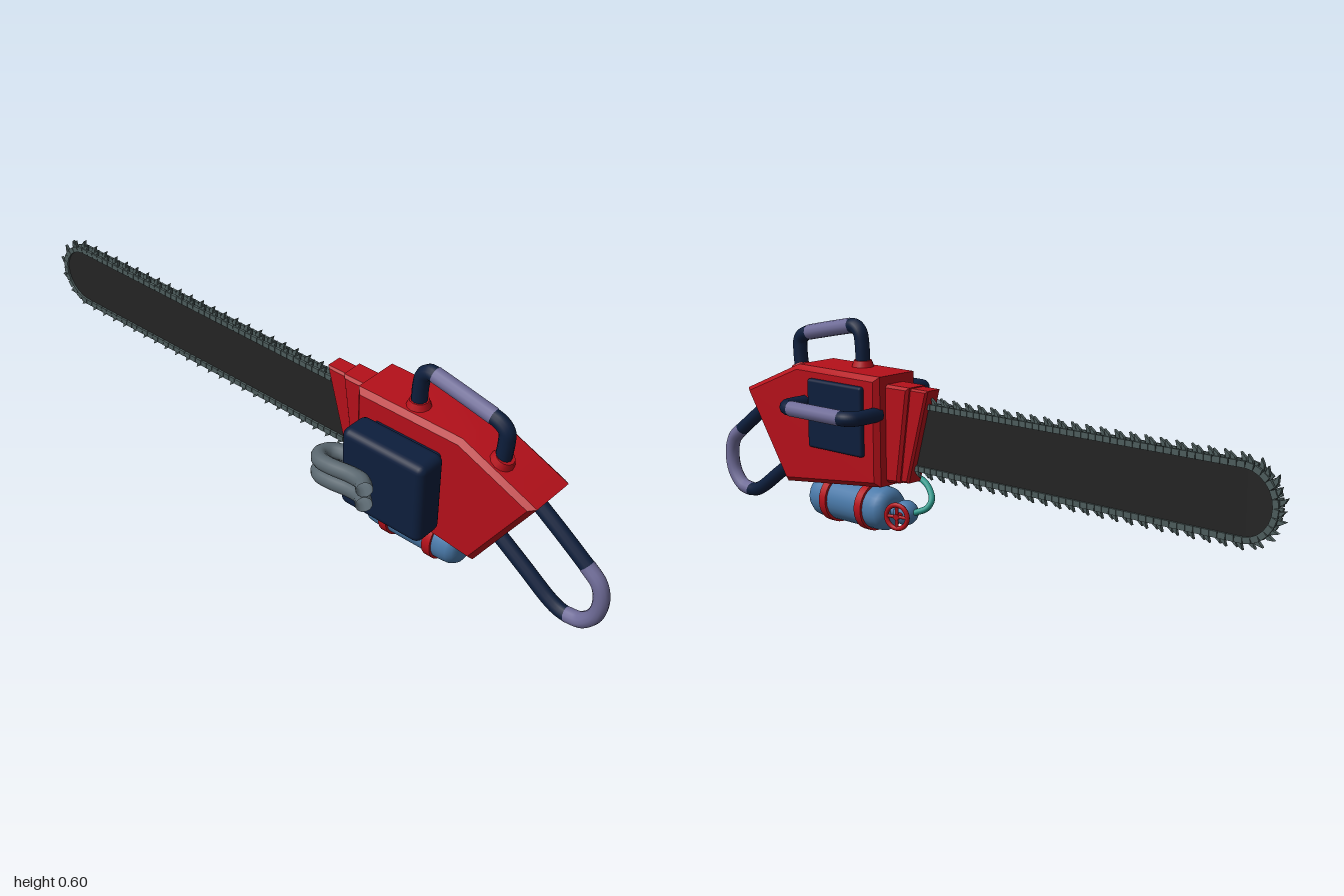
import * as THREE from 'three';
import { mergeGeometries, toCreasedNormals } from 'three/addons/utils/BufferGeometryUtils.js';
import { RoundedBoxGeometry } from 'three/addons/geometries/RoundedBoxGeometry.js';

const mat = (color, extra = {}) => {
  const m = new THREE.MeshStandardMaterial(extra);
  m.color.set(color);
  return m;
};
const red = mat(0xb5101a), navy = mat(0x0d1e3c), lavender = mat(0x6f6c98), blue = mat(0x4a7aaa);
const steel = mat(0x59666e, { side: THREE.DoubleSide }), chainGrey = mat(0x4d5c5c);
const dark = mat(0x242424), teal = mat(0x2a9a8c);

const vec = (p) => new THREE.Vector3(...p);

export function createModel() {
  const model = new THREE.Group();
  const add = (name, geometry, material, pos = [0, 0, 0], parent = model) => {
    const mesh = new THREE.Mesh(geometry, material);
    mesh.name = name;
    mesh.position.set(...pos);
    parent.add(mesh);
    return mesh;
  };

  // Side outline extruded from z0 to z1 with a chamfer that stays inside the outline
  const slab = (points, z0, z1, bevel) => {
    const shape = new THREE.Shape(points.map((p) => new THREE.Vector2(...p)));
    const g = new THREE.ExtrudeGeometry(shape, {
      depth: z1 - z0 - 2 * bevel, bevelEnabled: bevel > 0, bevelThickness: bevel,
      bevelSize: bevel, bevelOffset: -bevel, bevelSegments: 1, curveSegments: 20,
    });
    return toCreasedNormals(g.translate(0, 0, z0 + bevel), 0.5);
  };

  const tube = (name, points, radius, material, parent = model) => {
    const curve = new THREE.CatmullRomCurve3(points.map(vec), false, 'centripetal');
    return add(name, new THREE.TubeGeometry(curve, points.length * 6, radius, 12), material, [0, 0, 0], parent);
  };

  // Handle: two dark arms with a slightly thicker grip between them
  const handle = (name, first, grip, last, radius) => {
    const group = new THREE.Group();
    group.name = name;
    model.add(group);
    tube(name + 'FirstArm', first, radius, navy, group);
    tube(name + 'Grip', grip, radius * 1.05, lavender, group);
    tube(name + 'SecondArm', last, radius, navy, group);
  };

  // Housing and the stepped guard where the bar enters
  add('body', slab([[0.25, 0.155], [0.64, 0.11], [0.81, 0.37], [0.58, 0.467], [0.25, 0.467]], -0.122, 0.04, 0.014), red);
  add('barGuard', slab([[0.18, 0.17], [0.27, 0.165], [0.27, 0.44], [0.105, 0.44]], -0.073, -0.016, 0.006), red);
  add('barGuardStep', slab([[0.205, 0.168], [0.27, 0.163], [0.27, 0.443], [0.165, 0.443]], -0.086, -0.008, 0.008), red);

  // Engine cover, its mounting plate and the rear panel
  add('engineCover', new RoundedBoxGeometry(0.262, 0.24, 0.094, 3, 0.022), navy, [0.424, 0.302, 0.102]);
  add('enginePlate', new RoundedBoxGeometry(0.21, 0.19, 0.04, 2, 0.008), navy, [0.424, 0.305, 0.045]);
  add('rearPanel', new RoundedBoxGeometry(0.22, 0.2, 0.034, 2, 0.008), navy, [0.41, 0.335, -0.119]);

  // Guide bar with a round nose
  const noseX = -0.88, rootX = 0.2, midY = 0.303, barZ = -0.042, barR = 0.084;
  const barShape = new THREE.Shape();
  barShape.moveTo(rootX, midY - barR);
  barShape.lineTo(rootX, midY + barR);
  barShape.lineTo(noseX, midY + barR);
  barShape.absarc(noseX, midY, barR, Math.PI / 2, Math.PI * 1.5, false);
  const bar = new THREE.ExtrudeGeometry(barShape, { depth: 0.016, bevelEnabled: false, curveSegments: 24 });
  add('guideBar', toCreasedNormals(bar, 0.5), dark, [0, 0, barZ - 0.008]);

  // Chain: links and hooked teeth following the edge of the bar
  const run = rootX - noseX, chainR = 0.09, arc = Math.PI * chainR, total = 2 * run + arc;
  const count = 108, pitch = total / count;
  const toothShape = new THREE.Shape([[-0.009, 0], [0.007, 0], [0.006, 0.008], [0.011, 0.025], [-0.003, 0.014]]
    .map((p) => new THREE.Vector2(...p)));
  const tooth = new THREE.ExtrudeGeometry(toothShape, { depth: 0.009, bevelEnabled: false });
  const link = new THREE.BoxGeometry(pitch * 0.92, 0.016, 0.007).toNonIndexed();
  const chain = [];
  for (let i = 0; i < count; i++) {
    const s = (i + 0.5) * pitch;
    let x, y, turn;
    if (s < run) [x, y, turn] = [rootX - s, midY + chainR, 0];
    else if (s < run + arc) {
      turn = (s - run) / chainR;
      [x, y] = [noseX - Math.sin(turn) * chainR, midY + Math.cos(turn) * chainR];
    } else [x, y, turn] = [noseX + s - run - arc, midY - chainR, Math.PI];
    const place = new THREE.Matrix4().makeRotationZ(turn).setPosition(x, y, barZ);
    const side = i % 2 ? 1 : -1;
    chain.push(tooth.clone().translate(0, 0, side * 0.006 - 0.0045).applyMatrix4(place));
    for (const z of [-0.0105, 0.0105]) chain.push(link.clone().translate(0, 0, z).applyMatrix4(place));
  }
  add('chain', mergeGeometries(chain), chainGrey);

  // Top, side and rear handles
  const tz = -0.012;
  handle('topHandle',
    [[0.415, 0.44, tz], [0.417, 0.53, tz], [0.425, 0.565, tz], [0.445, 0.58, tz], [0.465, 0.579, tz]],
    [[0.46, 0.58, tz], [0.55, 0.562, tz], [0.64, 0.543, tz]],
    [[0.635, 0.544, tz], [0.662, 0.535, tz], [0.68, 0.518, tz], [0.682, 0.49, tz], [0.674, 0.41, tz]], 0.0215);
  const sy = 0.36;
  handle('sideHandle',
    [[0.265, sy, -0.1], [0.262, sy, -0.165], [0.268, sy, -0.192], [0.285, sy, -0.207], [0.305, sy, -0.209]],
    [[0.3, sy, -0.209], [0.4, sy, -0.209], [0.505, sy, -0.209]],
    [[0.5, sy, -0.209], [0.525, sy, -0.205], [0.54, sy, -0.19], [0.546, sy, -0.165], [0.543, sy, -0.1]], 0.0215);
  const rz = -0.044;
  handle('rearHandle',
    [[0.76, 0.334, rz], [0.85, 0.271, rz], [0.93, 0.212, rz]],
    [[0.925, 0.216, rz], [0.965, 0.18, rz], [0.978, 0.13, rz], [0.966, 0.075, rz], [0.93, 0.037, rz], [0.89, 0.029, rz]],
    [[0.9, 0.028, rz], [0.865, 0.033, rz], [0.83, 0.05, rz], [0.76, 0.1, rz], [0.66, 0.17, rz]], 0.0205);
  for (const [x, y, tilt] of [[0.415, 0.472, 0], [0.678, 0.432, -0.4]])
    add('topHandleFoot', new THREE.CylinderGeometry(0.026, 0.036, 0.026, 12), red, [x, y, tz]).rotation.z = tilt;

  // Twin exhaust pipes sweeping out of the cover and back along its face
  for (const [i, y] of [0.312, 0.265].entries())
    tube(i ? 'lowerExhaust' : 'upperExhaust', [
      [0.32, y, 0.11], [0.27, y, 0.112], [0.243, y + 0.002, 0.13], [0.237, y + 0.006, 0.158],
      [0.258, y + 0.011, 0.183], [0.3, y + 0.017, 0.191], [0.37, y + 0.026, 0.191],
      [0.41, y + 0.031, 0.199], [0.437, y + 0.033, 0.222]], 0.022, steel);

  // Fuel tank with rounded ends and two straps
  const tank = [0, 0.072, -0.04];
  const profile = [[0, -0.155], [0.035, -0.153], [0.053, -0.146], [0.062, -0.13], [0.064, -0.11],
    [0.064, 0.11], [0.062, 0.13], [0.053, 0.146], [0.035, 0.153], [0, 0.155]];
  const tankBody = new THREE.LatheGeometry(profile.map((p) => new THREE.Vector2(...p)), 28);
  add('fuelTank', tankBody.rotateZ(-Math.PI / 2), blue, [0.42, tank[1], tank[2]]);
  for (const x of [0.347, 0.493])
    add('tankStrap', new THREE.CylinderGeometry(0.071, 0.071, 0.026, 28).rotateZ(Math.PI / 2), red, [x, tank[1], tank[2]]);

  // Valve: neck, ball, spoked hand wheel and hose
  add('tankNeck', new THREE.CylinderGeometry(0.017, 0.017, 0.08, 14).rotateZ(Math.PI / 2), blue, [0.25, 0.073, tank[2]]);
  add('valveBall', new THREE.SphereGeometry(0.036, 20, 14), blue, [0.22, 0.074, tank[2]]);
  const wheel = new THREE.Group();
  wheel.name = 'valveWheel';
  wheel.position.set(0.207, 0.074, -0.09);
  wheel.rotation.y = 0.25;
  model.add(wheel);
  add('wheelRim', new THREE.TorusGeometry(0.034, 0.007, 8, 24), red, [0, 0, 0], wheel);
  for (let i = 0; i < 2; i++)
    add('wheelSpoke', new THREE.CylinderGeometry(0.005, 0.005, 0.066, 8), red, [0, 0, 0], wheel).rotation.z = i * Math.PI / 2;
  add('wheelStem', new THREE.CylinderGeometry(0.009, 0.009, 0.04, 10).rotateX(Math.PI / 2), red, [0, 0, 0.014], wheel);
  tube('fuelHose', [[0.27, 0.168, -0.005], [0.22, 0.168, 0.008], [0.18, 0.152, 0.006], [0.15, 0.118, -0.008],
    [0.155, 0.095, -0.022], [0.18, 0.082, -0.035], [0.2, 0.075, -0.04]], 0.009, teal);

  return model;
}
